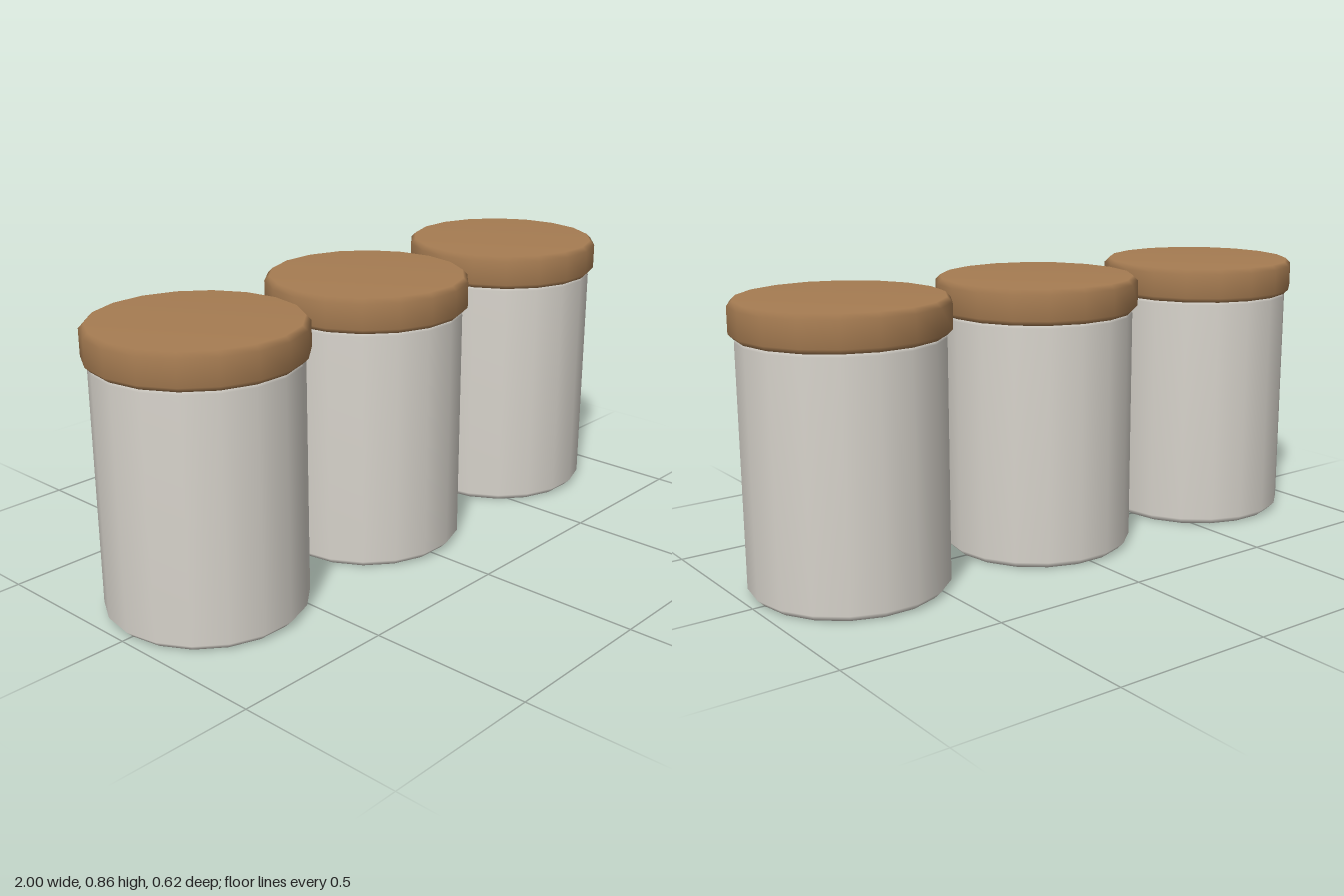
import * as THREE from 'three';

const SIDES = 18;

// Smooth turned solid with a corner of its polygon on the x axis
function turned(profile, material, name) {
  const points = profile.map(([r, y]) => new THREE.Vector2(r, y));
  const mesh = new THREE.Mesh(new THREE.LatheGeometry(points, SIDES, Math.PI / 2), material);
  mesh.name = name;
  return mesh;
}

export function createModel() {
  const ceramic = new THREE.MeshStandardMaterial({ color: 0xd8d4cc });
  ceramic.name = 'pale ceramic';
  const wood = new THREE.MeshStandardMaterial({ color: 0xa67c52 });
  wood.name = 'brown wood';

  const model = new THREE.Group();
  model.name = 'canisterSet';

  ['rightCanister', 'middleCanister', 'leftCanister'].forEach((name, i) => {
    const canister = new THREE.Group();
    canister.name = name;
    canister.position.x = (i - 1) * 0.686;

    // Jar with a chamfered foot and shoulder
    canister.add(turned([
      [0, 0], [0.277, 0], [0.298, 0.021], [0.298, 0.741], [0.289, 0.75], [0, 0.75],
    ], ceramic, 'jar'));

    // Lid with chamfered rims, overhanging the jar
    canister.add(turned([
      [0, 0.75], [0.299, 0.75], [0.314, 0.765], [0.314, 0.842], [0.299, 0.857], [0, 0.857],
    ], wood, 'lid'));

    model.add(canister);
  });

  return model;
}
